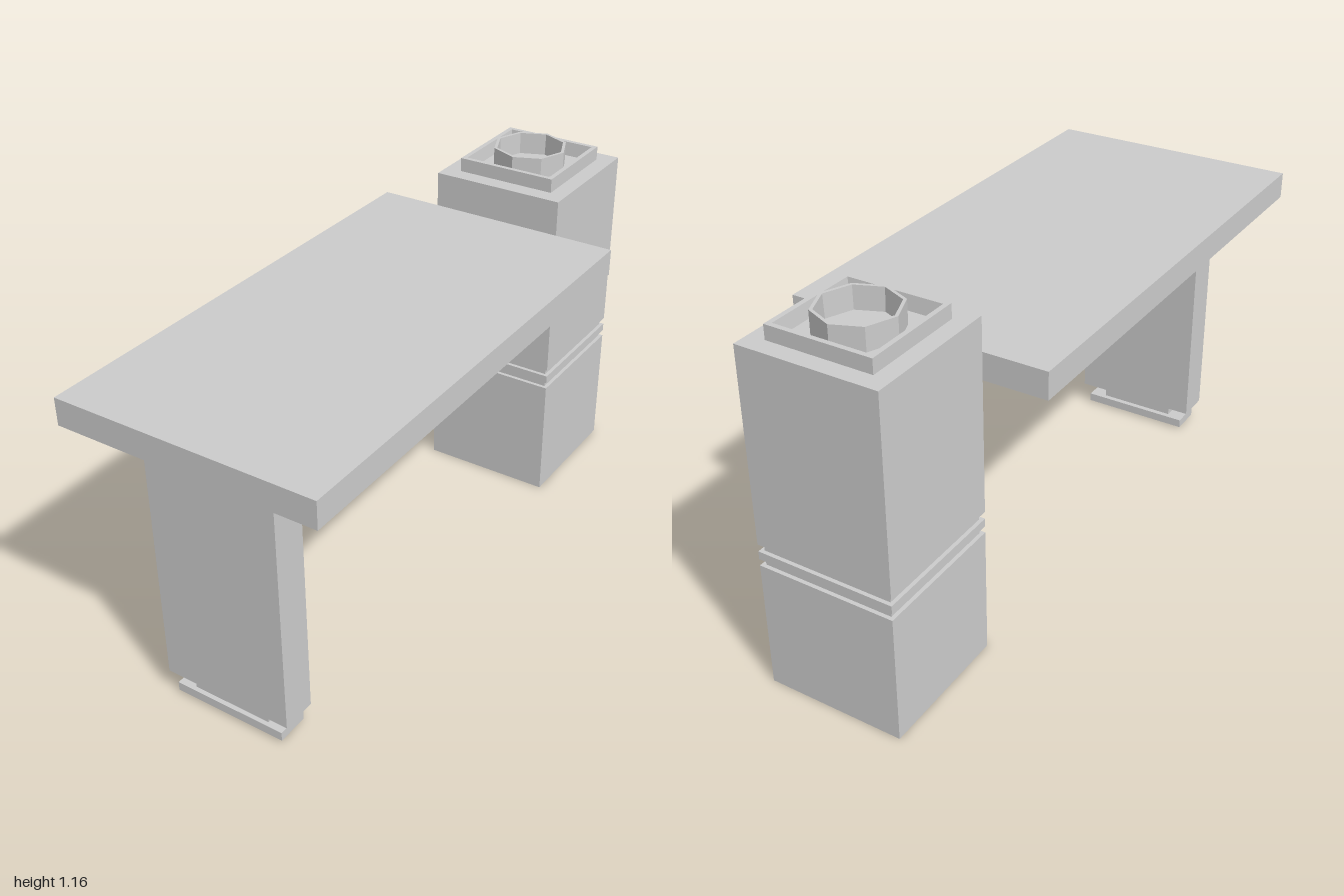
import * as THREE from 'three';

export function createModel() {
  const model = new THREE.Group();
  const material = new THREE.MeshStandardMaterial({ color: 0xcccccc, flatShading: true });

  const add = (parent, name, geometry) => {
    const mesh = new THREE.Mesh(geometry, material);
    mesh.name = name;
    parent.add(mesh);
    return mesh;
  };

  // Box given by half width and its y and z ranges
  const slab = (parent, name, halfX, y0, y1, z0, z1) => {
    const mesh = add(parent, name, new THREE.BoxGeometry(halfX * 2, y1 - y0, z1 - z0));
    mesh.position.set(0, (y0 + y1) / 2, (z0 + z1) / 2);
  };

  // Polygonal rim with an open middle: outer wall, top edge, sloped inner wall
  const rim = (parent, name, sides, start, y0, y1, outer, innerTop, innerBottom) => {
    const profile = [[outer, y0], [outer, y1], [innerTop, y1], [innerBottom, y0]]
      .map(([r, y]) => new THREE.Vector2(r, y));
    return add(parent, name, new THREE.LatheGeometry(profile, sides, start));
  };

  // Table top
  slab(model, 'tableTop', 0.413, 0.895, 0.98, -0.555, 1);

  // Front leg on a recessed neck and foot
  const leg = new THREE.Group();
  leg.name = 'frontLeg';
  model.add(leg);
  slab(leg, 'legPanel', 0.211, 0.073, 0.895, 0.798, 0.91);
  slab(leg, 'legNeck', 0.13, 0.034, 0.073, 0.82, 0.89);
  slab(leg, 'legFoot', 0.186, 0.006, 0.035, 0.802, 0.904);

  // Square pillar, split by a groove with a raised band
  const pillar = new THREE.Group();
  pillar.name = 'pillar';
  pillar.position.z = -0.781;
  model.add(pillar);
  const blocks = [
    ['pillarBase', 0.219, 0, 0.41],
    ['pillarCore', 0.207, 0.41, 0.48],
    ['pillarBand', 0.219, 0.431, 0.457],
    ['pillarShaft', 0.219, 0.48, 1.09],
  ];
  for (const [name, half, y0, y1] of blocks) slab(pillar, name, half, y0, y1, -half, half);

  // Square tray rim and octagonal cup rim on the pillar
  const d = Math.SQRT2;
  rim(pillar, 'trayRim', 4, Math.PI / 4, 1.09, 1.135, 0.165 * d, 0.15 * d, 0.144 * d);
  rim(pillar, 'cupRim', 8, 0, 1.09, 1.16, 0.122, 0.112, 0.109);

  return model;
}
